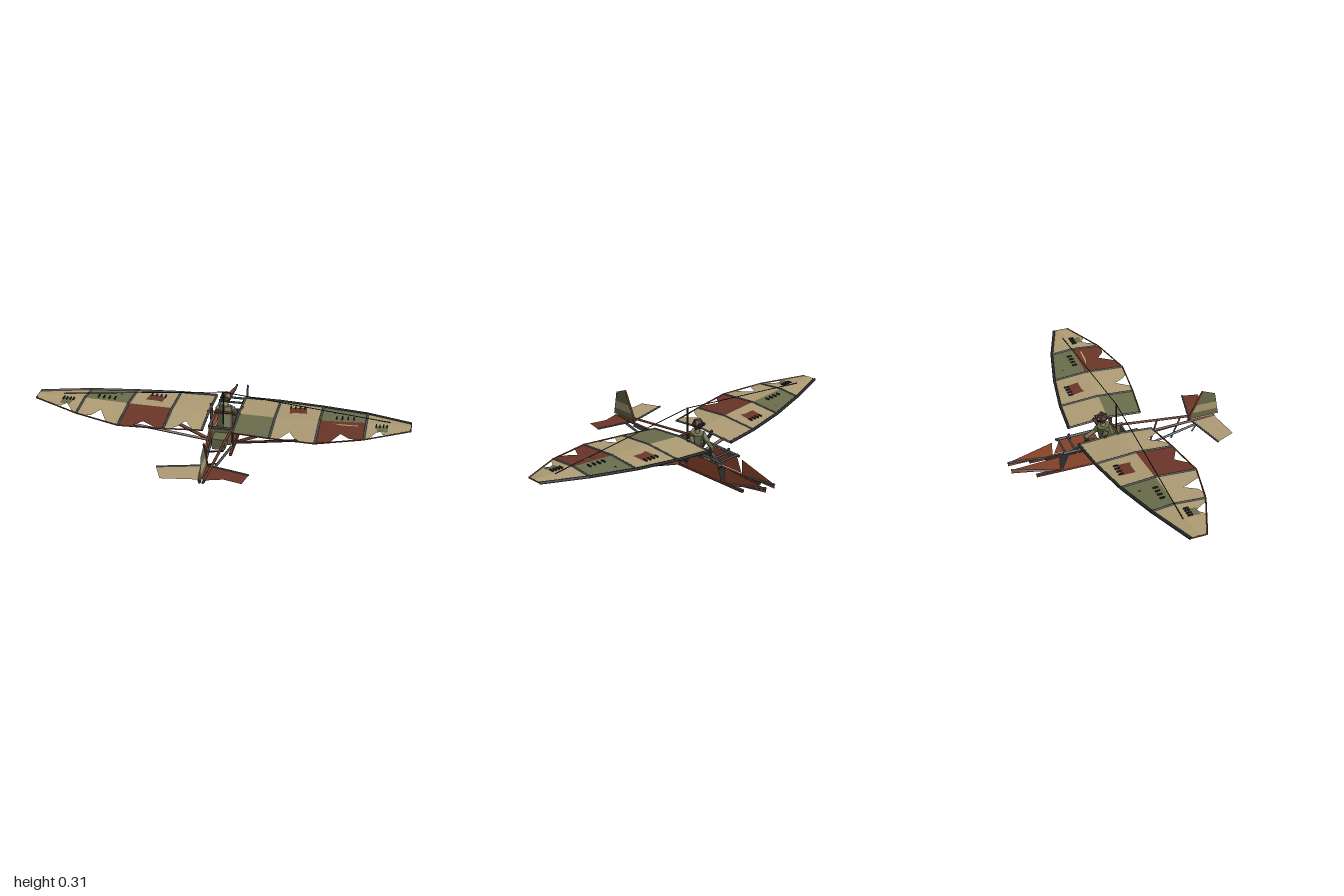
import * as THREE from 'three';

const mat = (name, color, side = THREE.FrontSide) => {
  const m = new THREE.MeshStandardMaterial({ color, side });
  m.name = name;
  return m;
};
const V = (x, y, z) => new THREE.Vector3(x, y, z);
const CX = 0.014; // centre line of the airframe

export function createModel() {
  const D = THREE.DoubleSide;
  const tan = mat('tan canvas', 0xae9c74, D), olive = mat('olive canvas', 0x6a6e4c, D);
  const red = mat('dark red canvas', 0x6b3528, D), rust = mat('rusty sheet', 0x9c4e31, D);
  const wood = mat('brown wood', 0x6a3a28), dark = mat('dark iron', 0x26292b);
  const slate = mat('slate metal', 0x4b5256), leather = mat('leather', 0x4d3726);
  const model = new THREE.Group();
  model.name = 'glider';

  const add = (name, geo, m, parent = model) => {
    const mesh = new THREE.Mesh(geo, m);
    mesh.name = name;
    parent.add(mesh);
    return mesh;
  };
  // Straight bar between two points
  const rod = (name, a, b, r, m, sides = 6) => {
    const dir = b.clone().sub(a);
    const mesh = add(name, new THREE.CylinderGeometry(r, r, dir.length(), sides), m);
    mesh.position.copy(a).add(b).multiplyScalar(0.5);
    mesh.quaternion.setFromUnitVectors(V(0, 1, 0), dir.normalize());
    return mesh;
  };
  const box = (name, w, h, d, x, y, z, m) => {
    const mesh = add(name, new THREE.BoxGeometry(w, h, d), m);
    mesh.position.set(x, y, z);
    return mesh;
  };
  // Flat sheet: a 2D outline whose points are carried into space by a function
  const sheet = (name, outline, place, m) => {
    const geo = new THREE.ShapeGeometry(new THREE.Shape(outline.map(p => new THREE.Vector2(...p))));
    const pos = geo.attributes.position;
    for (let i = 0; i < pos.count; i++) {
      const p = place(pos.getX(i), pos.getY(i));
      pos.setXYZ(i, p.x, p.y, p.z);
    }
    const flat = geo.toNonIndexed();
    flat.computeVertexNormals();
    return add(name, flat, m);
  };

  // Wing stations: distance from centre, leading z, ridge z, trailing z, height
  const stations = [
    [0.08, -0.24, -0.02, 0.17, 0.168, 0.015], [0.278, -0.22, 0, 0.205, 0.176, 0.015],
    [0.515, -0.175, 0.01, 0.235, 0.187, 0.015], [0.757, -0.11, 0.015, 0.175, 0.203, 0.012],
    [1, -0.02, 0.02, 0.065, 0.215, 0.006],
  ];
  const at = (side, d) => {
    let i = 0;
    while (i < 3 && d > stations[i + 1][0]) i++;
    const a = stations[i], b = stations[i + 1], t = (d - a[0]) / (b[0] - a[0]);
    const s = a.map((v, k) => v + (b[k] - v) * t);
    const x = d >= 1 ? side : CX + side * d;
    return { lead: V(x, s[4], s[1]), ridge: V(x, s[4] + s[5], s[2]), trail: V(x, s[4], s[3]) };
  };
  const onWing = (side, x, z, lift = 0) => {
    const p = at(side, Math.abs(x - CX));
    const end = z < p.ridge.z ? p.lead : p.trail;
    const t = (z - p.ridge.z) / (end.z - p.ridge.z);
    return V(x, p.ridge.y + (end.y - p.ridge.y) * t + lift, z);
  };

  // Canvas colours and tears (start, apex, end along the span, apex depth), root to tip
  const wings = {
    '1': { front: [tan, tan, olive, tan], back: [olive, tan, red, tan],
      tears: [null, [0.2, 0.4, 0.68, 0.62], [0.3, 0.5, 0.85, 0.62], [0.1, 0.3, 0.5, 0.5]] },
    '-1': { front: [tan, tan, olive, tan], back: [tan, red, tan, tan],
      tears: [[0.25, 0.5, 0.85, 0.58], [0.15, 0.5, 0.72, 0.74], [0.28, 0.52, 0.8, 0.5], [0.1, 0.3, 0.5, 0.55]] },
  };
  for (const side of [1, -1]) {
    const w = wings[side], label = side > 0 ? 'left' : 'right';
    for (let i = 0; i < 4; i++) {
      const a = at(side, stations[i][0]), b = at(side, stations[i + 1][0]);
      const span = (from, to) => (u, v) =>
        a[from].clone().lerp(a[to], v).lerp(b[from].clone().lerp(b[to], v), u);
      const t = w.tears[i];
      const rear = [[0, 0], [1, 0], [1, 1]];
      if (t) rear.push([t[2], 1], [(t[1] + t[2]) / 2, 0.87], [t[1], t[3]], [t[0], 1]);
      rear.push([0, 1]);
      sheet(label + 'WingFrontPanel', [[0, 0], [1, 0], [1, 1], [0, 1]], span('lead', 'ridge'), w.front[i]);
      sheet(label + 'WingRearPanel', rear, span('ridge', 'trail'), w.back[i]);
      rod(label + 'LeadingEdge', a.lead, b.lead, 0.008, dark);
      rod(label + 'TrailingEdge', a.trail, b.trail, 0.004, wood);
      rod(label + 'Rib', a.lead, a.ridge, 0.006, slate);
      rod(label + 'Rib', a.ridge, a.trail, 0.006, slate);
    }
    const tip = at(side, 1);
    rod(label + 'WingTip', tip.lead, tip.trail, 0.004, wood);

    // Sewn patches with stitches
    const patch = (d0, d1, z0, z1, m) => {
      const skew = 0.008;
      sheet(label + 'Patch', [[d0, z0], [d1, z0 - skew], [d1 + skew, z1 - skew], [d0 + 0.4 * (d1 - d0), z1 - 0.01], [d0 + skew, z1]],
        (d, z) => onWing(side, CX + side * d, z, 0.003), m);
    };
    const stitches = (d0, d1, z) => {
      for (let i = 0; i < 4; i++) {
        const p = onWing(side, CX + side * (d0 + (d1 - d0) * i / 3), z, 0.005);
        box(label + 'Stitch', 0.006, 0.008, 0.026, p.x, p.y, p.z, dark);
      }
    };
    patch(0.34, 0.43, -0.13, -0.055, red);
    stitches(0.345, 0.42, -0.135);
    patch(0.81, 0.865, 0.045, 0.105, olive);
    stitches(0.81, 0.865, 0.045);
    stitches(0.6, 0.69, -0.025);

    // Wing struts and bracing wire
    const foot = V(CX + side * 0.06, 0.016, 0);
    rod(label + 'FrontStrut', foot, V(CX + side * 0.59, 0.192, -0.1), 0.009, wood);
    rod(label + 'RearStrut', foot, V(CX + side * 0.59, 0.185, 0.17), 0.007, leather);
    rod(label + 'InnerStrut', V(CX + side * 0.06, 0.016, 0), V(CX + side * 0.085, 0.19, -0.1), 0.008, wood);
    rod(label + 'BracingWire', V(CX, 0.313, 0), V(CX + side * 0.88, 0.222, 0), 0.0025, dark, 4);

    // Fuselage rails, tail booms and nose
    const x = CX + side * 0.064;
    box(label + 'BottomRail', 0.014, 0.015, 0.605, x, 0.016, -0.168, wood);
    rod(label + 'TopRail', V(x, 0.132, 0.06), V(x, 0.12, -0.32), 0.008, slate);
    rod(label + 'UpperBoom', V(CX + side * 0.057, 0.131, 0.06), V(CX + side * 0.012, 0.107, 0.57), 0.007, wood);
    rod(label + 'LowerBoom', V(CX + side * 0.057, 0.025, 0.06), V(CX + side * 0.008, 0.1, 0.575), 0.007, slate);
    rod(label + 'CabinPost', V(x, 0.016, 0.055), V(x, 0.132, 0.055), 0.006, wood);
    rod(label + 'RailPost', V(x, 0.1, -0.245), V(x, 0.14, -0.245), 0.007, slate);
    rod(label + 'NoseBar', V(x, 0.018, -0.37), V(CX + side * 0.031, 0.065, -0.597), 0.006, slate);
    sheet(label + 'CockpitSide', [[-0.1, 0.11], [-0.295, 0.11], [-0.33, 0.025], [-0.065, 0.025]],
      (z, y) => V(x + side * 0.009, y, z), rust);
    sheet(label + 'NoseSide', [[-0.34, 0.106], [-0.597, 0.064], [-0.597, 0.042], [-0.34, 0.02]],
      (z, y) => V(CX + side * (0.066 - (-0.34 - z) * 0.13), y, z), rust);
    sheet(label + 'CabinCloth', [[0.055, 0.125], [-0.04, 0.125], [0, 0.035], [0.055, 0.035]],
      (z, y) => V(x, y, z), olive);

    // Pilot limbs
    rod(label + 'UpperArm', V(CX + side * 0.04, 0.185, -0.07), V(CX + side * 0.052, 0.135, -0.1), 0.014, olive);
    rod(label + 'Forearm', V(CX + side * 0.052, 0.135, -0.1), V(CX + side * 0.025, 0.122, -0.17), 0.011, olive);
    rod(label + 'Thigh', V(CX + side * 0.022, 0.06, -0.03), V(CX + side * 0.03, 0.09, -0.15), 0.018, leather);
    rod(label + 'Shin', V(CX + side * 0.03, 0.09, -0.15), V(CX + side * 0.03, 0.035, -0.22), 0.014, leather);
  }

  // Cabin floor, seat and controls
  box('floor', 0.118, 0.012, 0.385, CX, 0.016, -0.19, dark);
  box('seatBack', 0.11, 0.09, 0.012, CX, 0.075, 0.05, olive);
  box('rearPack', 0.07, 0.06, 0.08, CX, 0.071, 0.095, olive);
  box('seat', 0.1, 0.014, 0.09, CX, 0.04, -0.01, leather);
  for (const z of [0.05, -0.255, -0.31]) rod('crossBar', V(CX - 0.064, 0.126, z), V(CX + 0.064, 0.126, z), 0.006, slate);
  rod('controlStick', V(CX, 0.02, -0.18), V(CX, 0.125, -0.175), 0.005, dark);
  rod('mast', V(CX, 0.125, 0), V(CX, 0.315, 0), 0.005, dark);
  rod('wingSpar', V(CX - 0.09, 0.182, -0.02), V(CX + 0.09, 0.182, -0.02), 0.006, wood);

  // Pilot body
  const torso = add('pilotTorso', new THREE.CylinderGeometry(0.038, 0.048, 0.15, 6).toNonIndexed(), olive);
  torso.position.set(CX, 0.125, -0.055);
  torso.rotation.x = -0.25;
  torso.geometry.computeVertexNormals();
  rod('pilotNeck', V(CX, 0.19, -0.072), V(CX, 0.225, -0.08), 0.014, tan);
  const head = add('pilotHead', new THREE.IcosahedronGeometry(0.034, 0), leather);
  head.position.set(CX, 0.247, -0.08);
  for (const s of [1, -1]) {
    const goggle = rod('goggle', V(CX + s * 0.013, 0.251, -0.1), V(CX + s * 0.013, 0.251, -0.113), 0.01, dark, 8);
    goggle.name = 'goggle';
  }

  // Slanting braces between the booms
  for (const [z, s] of [[0.17, 1], [0.305, 0.75], [0.435, 0.45]])
    rod('boomBrace', V(CX - 0.05 * s, 0.042, z), V(CX + 0.05 * s, 0.106, z + 0.085), 0.005, dark);

  // Upright fin in three bands
  const fin = (name, outline, m) => sheet(name, outline, (z, y) => V(CX, y, z), m);
  fin('finBase', [[0.42, 0.11], [0.6, 0.11], [0.593, 0.145], [0.437, 0.145]], olive);
  fin('finBand', [[0.437, 0.145], [0.593, 0.145], [0.585, 0.19], [0.459, 0.19]], tan);
  fin('finTop', [[0.459, 0.19], [0.585, 0.19], [0.575, 0.245], [0.5, 0.275]], olive);
  rod('finPost', V(CX, 0.108, 0.42), V(CX, 0.275, 0.5), 0.006, wood);

  // Tailplane halves
  const tail = (x, z) => V(x, 0.112, z);
  sheet('rightTailplane', [[CX, 0.425], [-0.235, 0.485], [-0.19, 0.592], [CX, 0.565]], tail, tan);
  sheet('leftTailplane', [[CX, 0.425], [0.235, 0.48], [0.215, 0.57], [0.12, 0.545], [0.04, 0.568], [CX, 0.56]], tail, red);
  rod('rightTailEdge', tail(CX, 0.425), tail(-0.235, 0.485), 0.005, slate);
  rod('leftTailEdge', tail(CX, 0.425), tail(0.235, 0.48), 0.005, slate);
  // Pale slash in the left wing
  sheet('wingSlash', [[0.6, 0.04], [0.73, 0.05], [0.73, 0.057], [0.65, 0.055]], (x, z) => onWing(1, x, z, 0.003), tan);
  return model;
}
